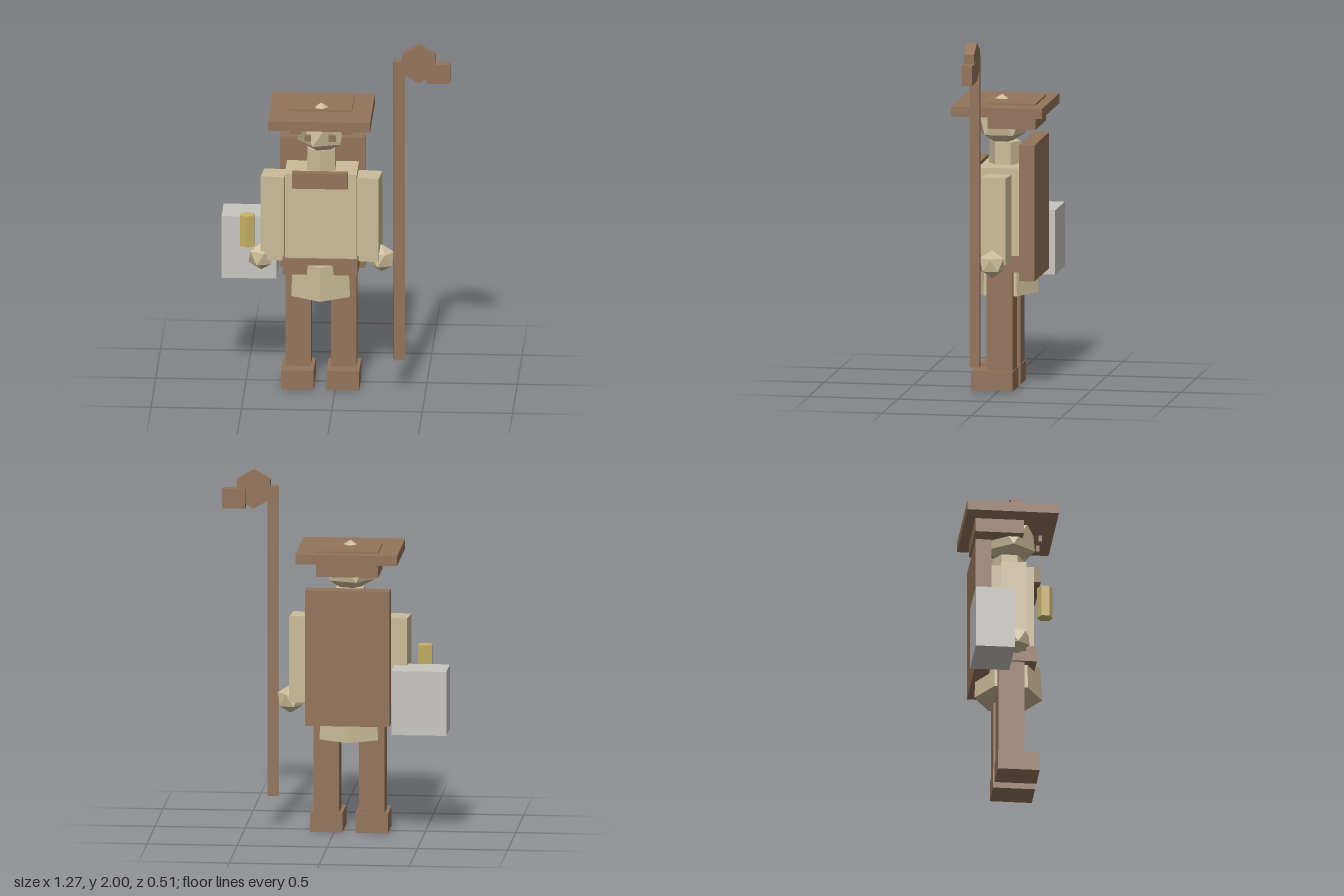
import * as THREE from 'three';

export function createModel() {
  const model = new THREE.Group();
  model.name = 'traveller';

  const material = (name, color) => {
    const m = new THREE.MeshStandardMaterial({ color });
    m.name = name;
    m.flatShading = true;
    return m;
  };
  const brown = material('brown', 0x93735a);
  const cream = material('cream', 0xcabb98);
  const grey = material('grey', 0xc8c5c0);
  const brass = material('brass', 0xc8b168);

  const add = (name, geometry, mat, x, y, z) => {
    const mesh = new THREE.Mesh(geometry, mat);
    mesh.name = name;
    mesh.position.set(x, y, z);
    model.add(mesh);
    return mesh;
  };
  // Box given by its extents along each axis
  const box = (name, mat, [x0, x1], [y0, y1], [z0, z1]) =>
    add(name, new THREE.BoxGeometry(x1 - x0, y1 - y0, z1 - z0), mat,
      (x0 + x1) / 2, (y0 + y1) / 2, (z0 + z1) / 2);
  // Upright six-sided prism with a corner facing front
  const hex = (name, mat, rTop, rBottom, x, [y0, y1], z) =>
    add(name, new THREE.CylinderGeometry(rTop, rBottom, y1 - y0, 6), mat, x, (y0 + y1) / 2, z);
  // Icosahedron standing on one corner
  const ball = (name, r, x, y, z) =>
    add(name, new THREE.IcosahedronGeometry(r, 0).rotateZ(-0.5536), cream, x, y, z);

  const cx = -0.083; // middle of the figure

  // Head, hair and hat
  ball('head', 0.15, cx, 1.48, 0.017);
  hex('neck', cream, 0.088, 0.09, cx, [1.2, 1.37], 0);
  box('hair', brown, [-0.255, 0.088], [1.46, 1.605], [-0.2, 0.07]);
  box('hatBrim', brown, [-0.365, 0.199], [1.54, 1.595], [-0.255, 0.253]);

  // Body
  box('torso', cream, [-0.28, 0.118], [0.72, 1.245], [-0.12, 0.122]);
  box('collar', brown, [-0.238, 0.07], [1.175, 1.265], [0.12, 0.165]);
  box('belt', brown, [-0.292, 0.124], [0.665, 0.757], [-0.13, 0.138]);
  hex('skirt', cream, 0.178, 0.188, cx, [0.525, 0.72], 0);
  box('backBoard', brown, [-0.318, 0.15], [0.622, 1.383], [-0.205, -0.118]);

  // Limbs, one set per side
  for (const [side, s] of [['left', 1], ['right', -1]]) {
    const arm = add(side + 'Arm', new THREE.BoxGeometry(0.13, 0.485, 0.14), cream,
      cx + s * 0.262, 0.968, 0.003);
    arm.rotation.y = -0.09;
    ball(side + 'Hand', 0.079, cx + s * 0.333, 0.73, 0.015);
    const lx = cx + s * 0.126;
    box(side + 'Leg', brown, [lx - 0.07, lx + 0.07], [0.1, 0.68], [-0.075, 0.07]);
    box(side + 'Foot', brown, [lx - 0.09, lx + 0.09], [0, 0.11], [-0.08, 0.153]);
    const ex = cx + s * 0.067;
    box(side + 'Eye', brown, [ex - 0.018, ex + 0.018], [1.456, 1.492], [0.16, 0.178]);
  }

  // Staff with crooked head
  const staff = add('staffPole', new THREE.BoxGeometry(0.062, 1.74, 0.057), brown, 0.352, 1.04, 0.093);
  staff.rotation.y = 0.09;
  add('staffKnob', new THREE.CylinderGeometry(0.107, 0.107, 0.056, 6).rotateX(Math.PI / 2),
    brown, 0.46, 1.893, 0.091);
  box('staffTip', brown, [0.505, 0.633], [1.785, 1.895], [0.06, 0.12]);

  // Carried things
  hex('lantern', brass, 0.044, 0.044, -0.485, [0.84, 1.02], 0.162);
  box('satchel', grey, [-0.637, -0.332], [0.585, 0.945], [-0.237, -0.02]);

  return model;
}
